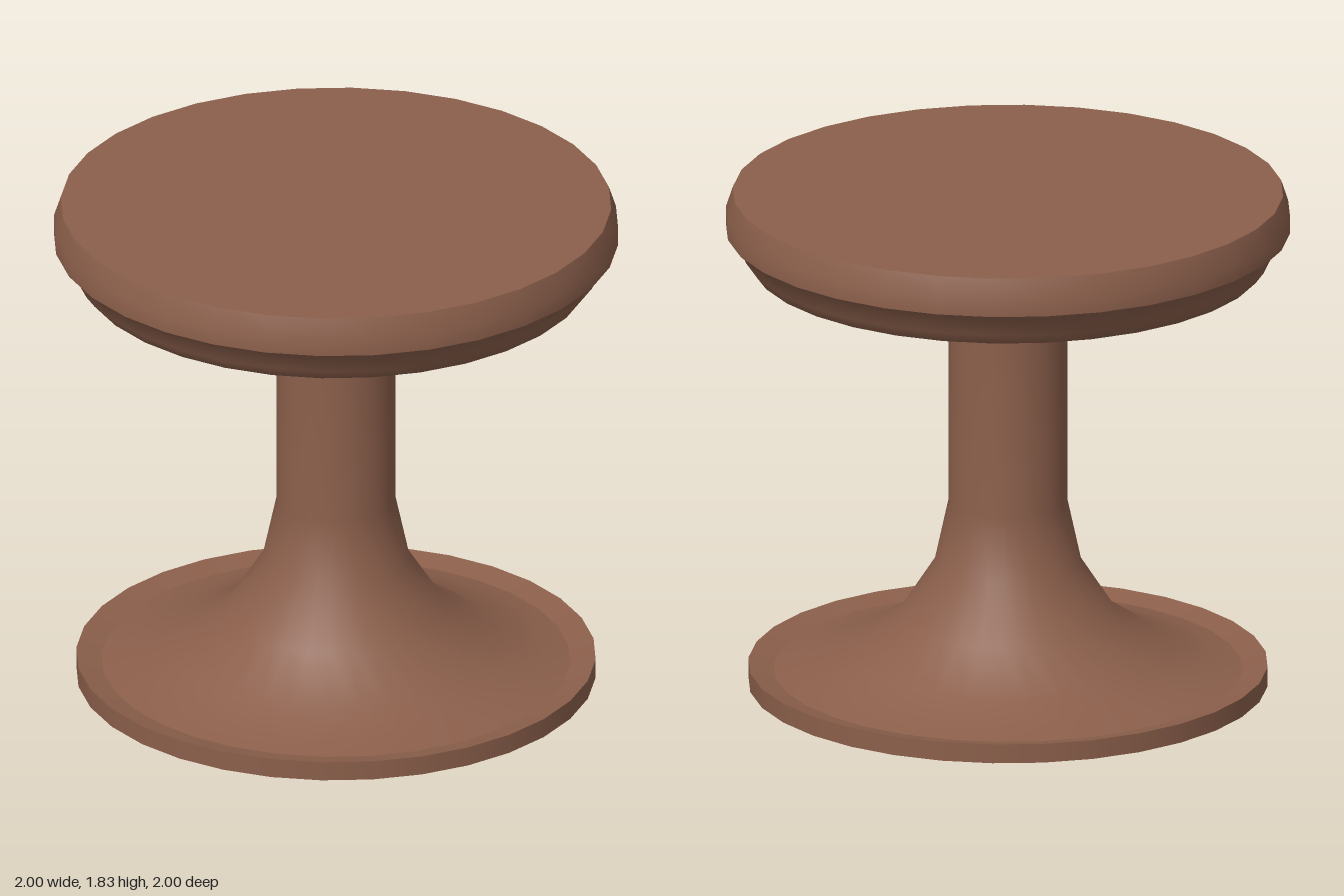
import * as THREE from 'three';

const SEGMENTS = 32;

export function createModel() {
  const model = new THREE.Group();
  model.name = 'pedestalStool';
  const wood = new THREE.MeshStandardMaterial({ color: 0x8b5f4b, side: THREE.DoubleSide });

  // Each profile is [radius, height] from bottom to top, smooth within itself
  // and sharp where it meets the next one.
  function turn(group, name, profile) {
    const points = profile.map(([r, y]) => new THREE.Vector2(r, y));
    const mesh = new THREE.Mesh(new THREE.LatheGeometry(points, SEGMENTS), wood);
    mesh.name = name;
    group.add(mesh);
  }

  function part(name) {
    const group = new THREE.Group();
    group.name = name;
    model.add(group);
    return group;
  }

  // Round foot with a bore up the middle
  const base = part('base');
  turn(base, 'boreWall', [[0, 1.38], [0.205, 1.38], [0.205, 0]]);
  turn(base, 'baseUnderside', [[0.205, 0], [0.92, 0]]);
  turn(base, 'baseRim', [[0.92, 0], [0.92, 0.07]]);
  turn(base, 'baseLip', [[0.92, 0.07], [0.83, 0.05]]);

  // Flared column
  const column = part('column');
  turn(column, 'columnShaft', [
    [0.83, 0.05], [0.74, 0.07], [0.59, 0.12], [0.39, 0.25],
    [0.26, 0.45], [0.21, 0.68], [0.21, 1.38],
  ]);

  // Collar under the seat
  const collar = part('collar');
  turn(collar, 'collarUnderside', [[0.21, 1.38], [0.34, 1.43]]);
  turn(collar, 'collarEdge', [[0.34, 1.43], [0.34, 1.455], [0.31, 1.505]]);

  // Round seat with a moulded edge
  const seat = part('seat');
  turn(seat, 'seatUnderside', [[0, 1.5], [0.3, 1.503], [0.86, 1.545]]);
  turn(seat, 'seatLowerEdge', [
    [0.86, 1.545], [0.905, 1.56], [0.935, 1.6], [0.955, 1.65], [1, 1.69],
  ]);
  turn(seat, 'seatUpperEdge', [[1, 1.69], [1, 1.75], [0.975, 1.825]]);
  turn(seat, 'seatTop', [[0.975, 1.825], [0, 1.825]]);

  return model;
}
